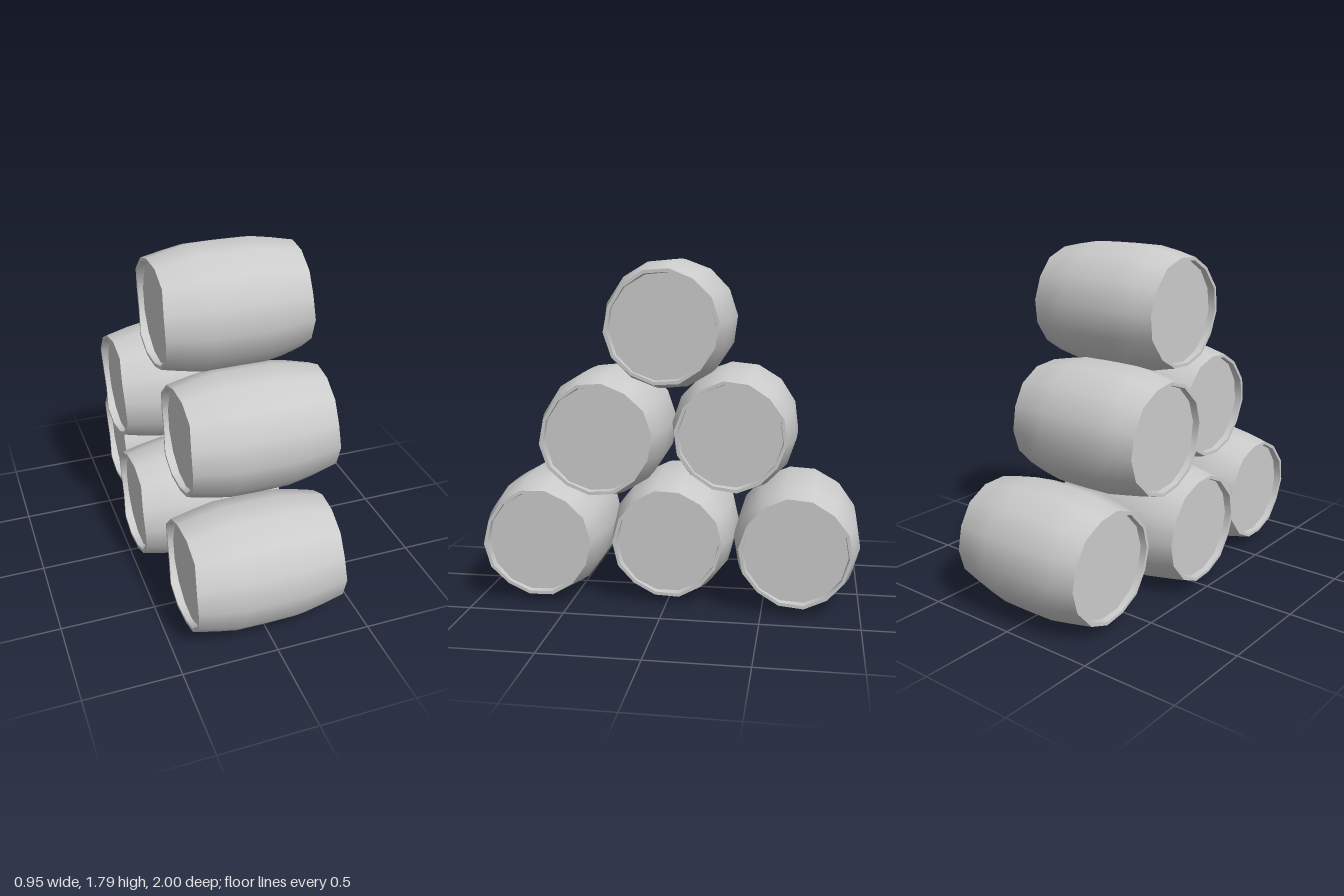
import * as THREE from 'three';

const SIDES = 14;
const HALF = 0.385; // half the barrel length

// Lathe along x; the rims get a slightly uneven, hand-hewn edge
function turned(name, points, material, wobble = true) {
  const geo = new THREE.LatheGeometry(points.map(([r, a]) => new THREE.Vector2(r, a)), SIDES);
  const pos = geo.attributes.position;
  for (let i = 0; wobble && i < pos.count; i++) {
    const x = pos.getX(i), y = pos.getY(i), z = pos.getZ(i);
    if (Math.abs(y) < 0.36) continue;
    const a = Math.atan2(x, z), end = Math.sign(y);
    const k = 1 + 0.012 * Math.sin(4 * a + end);
    const shift = 0.006 * Math.sin(3 * a + end) + 0.004 * Math.sin(5 * a);
    pos.setXYZ(i, x * k, y + shift, z * k);
  }
  geo.rotateZ(-Math.PI / 2);
  const mesh = new THREE.Mesh(geo, material);
  mesh.name = name;
  return mesh;
}

function createBarrel(material) {
  const barrel = new THREE.Group();
  // Bulging stave wall
  barrel.add(turned('staves', [
    [0.285, -HALF], [0.311, -0.27], [0.33, -0.16], [0.332, 0],
    [0.33, 0.16], [0.311, 0.27], [0.285, HALF],
  ], material));
  // Lip, inner wall and recessed head at each end
  const head = HALF - 0.035;
  for (const s of [-1, 1]) {
    const order = (pts) => (s > 0 ? pts : pts.reverse());
    barrel.add(
      turned('rimLip', order([[0.285, s * HALF], [0.268, s * HALF]]), material),
      turned('rimInside', order([[0.268, s * HALF], [0.266, s * head]]), material),
      turned('head', order([[0.275, s * head], [0, s * head]]), material, false),
    );
  }
  return barrel;
}

export function createModel() {
  const model = new THREE.Group();
  model.name = 'barrelStack';
  const material = new THREE.MeshStandardMaterial({ color: 0xcccccc });

  // name, x, y, z, roll: rows of three, two and one
  const places = [
    ['bottomFrontBarrel', -0.01, 0.337, 0.67, 0.06],
    ['bottomMiddleBarrel', -0.085, 0.337, -0.005, 0.0],
    ['bottomBackBarrel', -0.01, 0.337, -0.67, -0.06],
    ['middleFrontBarrel', 0.078, 0.91, 0.33, 0.1],
    ['middleBackBarrel', -0.083, 0.91, -0.33, -0.1],
    ['topBarrel', 0.055, 1.47, 0, 0.09],
  ];
  for (const [name, x, y, z, roll] of places) {
    const barrel = createBarrel(material);
    barrel.name = name;
    barrel.position.set(x, y, z);
    barrel.rotation.x = roll;
    model.add(barrel);
  }
  return model;
}
